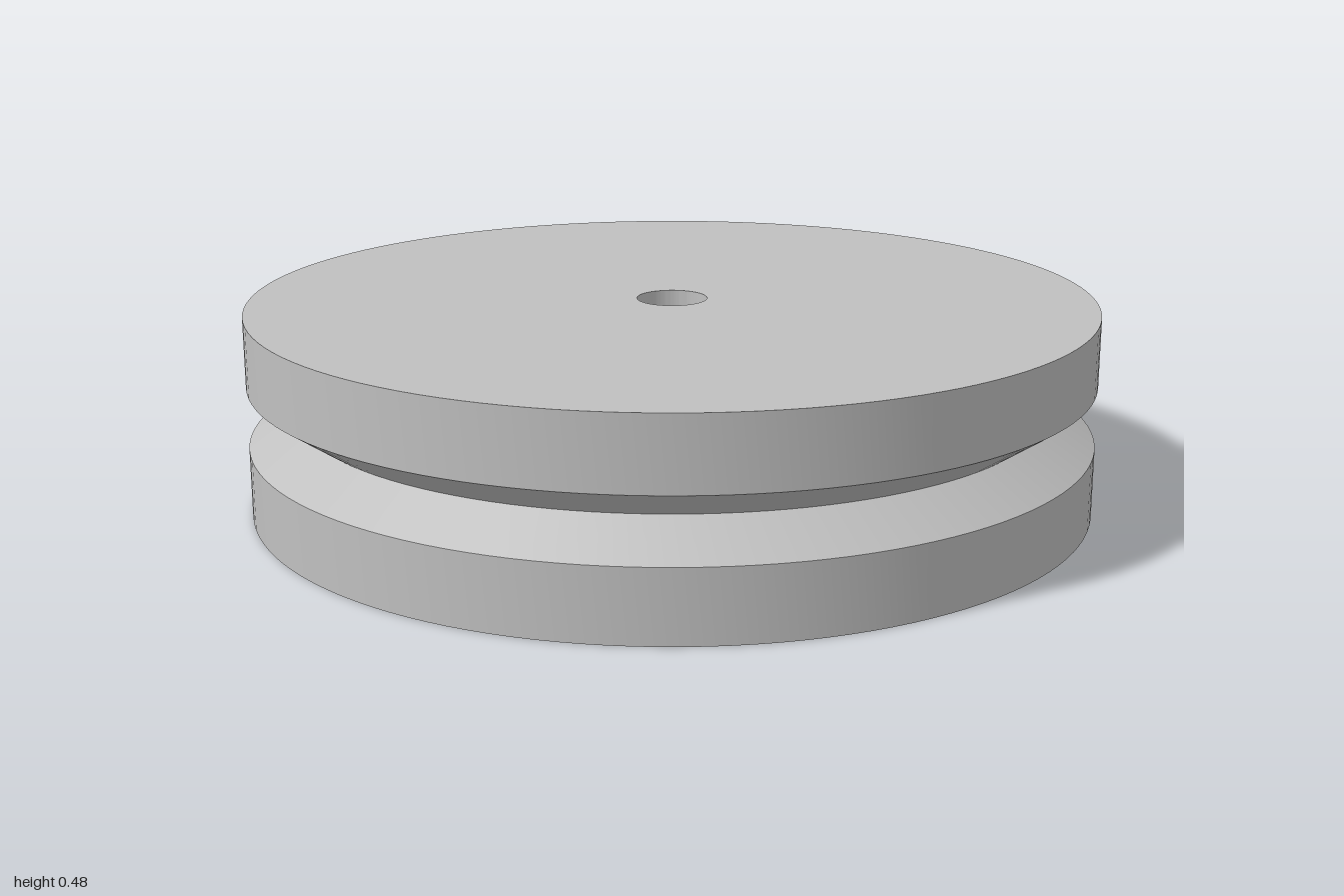
import * as THREE from 'three';
import { toCreasedNormals } from 'three/addons/utils/BufferGeometryUtils.js';

export function createModel() {
  const group = new THREE.Group();
  group.name = 'pulley';
  const metal = new THREE.MeshStandardMaterial({ color: 0xc0c0c0 });
  metal.name = 'grey metal';

  const radius = 1, grooveRadius = 0.893, boreRadius = 0.083;
  const height = 0.477, mid = height / 2, grooveHalf = 0.073;

  // Closed section: underside, rim with V groove, top face, then down the bore
  const section = [
    [boreRadius, 0],
    [radius, 0],
    [radius, mid - grooveHalf],
    [grooveRadius, mid],
    [radius, mid + grooveHalf],
    [radius, height],
    [boreRadius, height],
    [boreRadius, 0],
  ].map(([r, y]) => new THREE.Vector2(r, y));

  // Smooth around the axis, sharp at the section corners
  const geometry = toCreasedNormals(new THREE.LatheGeometry(section, 128), 0.5);
  const wheel = new THREE.Mesh(geometry, metal);
  wheel.name = 'groovedWheel';
  group.add(wheel);
  return group;
}
